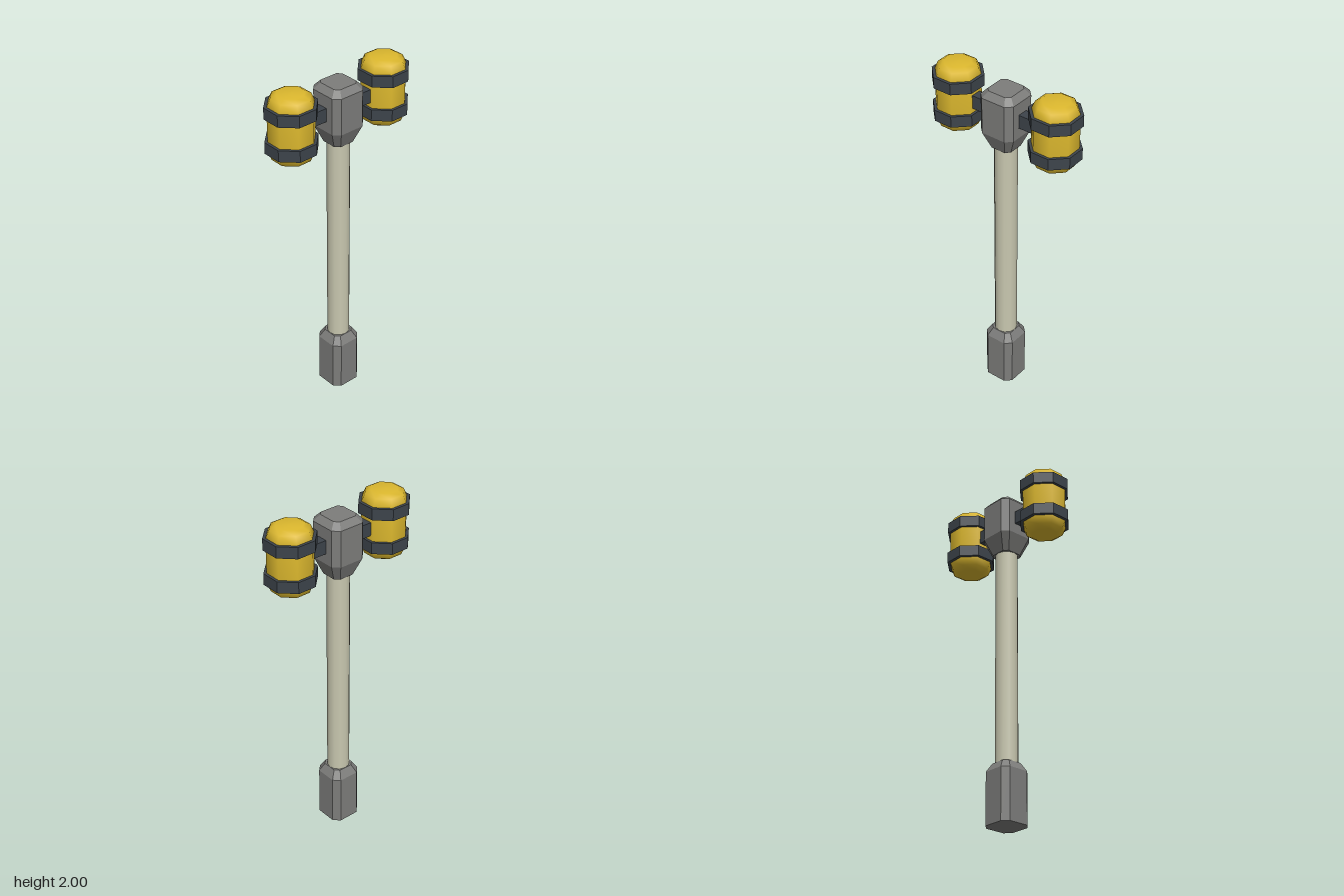
import * as THREE from 'three';

const material = (name, color) => {
  const m = new THREE.MeshStandardMaterial({ color });
  m.name = name;
  return m;
};

// Square ring with cut corners, counter-clockwise seen from above
function ring([y, half, cut]) {
  const k = half - cut;
  return [[half, k], [k, half], [-k, half], [-half, k], [-half, -k], [-k, -half], [k, -half], [half, -k]]
    .map(([x, z]) => [x, y, -z]);
}

// Flat-faced loft through [height, half width, corner cut] levels, closed at both ends
function chamferedLoft(levels) {
  const rings = levels.map(ring);
  const top = rings[rings.length - 1], bottom = rings[0];
  const pos = [];
  const tri = (...pts) => pts.forEach(p => pos.push(...p));
  for (let i = 0; i < 8; i++) {
    const j = (i + 1) % 8;
    for (let r = 0; r < rings.length - 1; r++) {
      const lo = rings[r], hi = rings[r + 1];
      tri(lo[i], lo[j], hi[j]);
      tri(lo[i], hi[j], hi[i]);
    }
    tri([0, top[0][1], 0], top[i], top[j]);
    tri([0, bottom[0][1], 0], bottom[j], bottom[i]);
  }
  const g = new THREE.BufferGeometry();
  g.setAttribute('position', new THREE.Float32BufferAttribute(pos, 3));
  g.computeVertexNormals();
  return g;
}

export function createModel() {
  const model = new THREE.Group();
  model.name = 'twoHeadedHammer';
  const grey = material('steelGrey', 0x7d7d7b);
  const dark = material('darkIron', 0x3d444b);
  const yellow = material('yellow', 0xdcb82e);
  const bone = material('paleHandle', 0xc9c8b0);

  const add = (parent, name, geometry, mat, x = 0, y = 0, z = 0) => {
    const mesh = new THREE.Mesh(geometry, mat);
    mesh.name = name;
    mesh.position.set(x, y, z);
    parent.add(mesh);
    return mesh;
  };

  // Handle with its grip foot and the central head block
  add(model, 'handle', new THREE.CylinderGeometry(0.064, 0.064, 1.34, 12), bone, 0, 0.97);
  add(model, 'foot', chamferedLoft([[0, 0.094, 0.034], [0.297, 0.094, 0.034], [0.345, 0.065, 0.024]]), grey);
  add(model, 'headBlock', chamferedLoft([
    [1.605, 0.066, 0.024], [1.705, 0.107, 0.034], [1.915, 0.107, 0.034], [1.95, 0.075, 0.022],
  ]), grey);

  // Octagonal drum with rounded ends, radii given across the flats
  const toCorner = 1 / Math.cos(Math.PI / 8);
  const profile = [[0, 1.61], [0.07, 1.612], [0.1, 1.63], [0.118, 1.68],
    [0.118, 1.935], [0.1, 1.98], [0.07, 1.998], [0, 2]]
    .map(([r, y]) => new THREE.Vector2(r * toCorner, y));
  const drumShape = new THREE.LatheGeometry(profile, 8, Math.PI / 8);

  // Band with flat sides
  const bandShape = new THREE.CylinderGeometry(0.133 * toCorner, 0.133 * toCorner, 0.066, 8, 1, false, Math.PI / 8)
    .toNonIndexed();
  bandShape.computeVertexNormals();

  // Mirrored sides: arm, drum and two bands
  for (const side of [1, -1]) {
    const group = new THREE.Group();
    group.name = side > 0 ? 'leftDrum' : 'rightDrum';
    add(group, 'arm', new THREE.BoxGeometry(0.19, 0.078, 0.06), dark, side * 0.165, 1.805);
    add(group, 'drum', drumShape, yellow, side * 0.317);
    for (const y of [1.706, 1.905]) add(group, 'band', bandShape, dark, side * 0.317, y);
    model.add(group);
  }
  return model;
}
